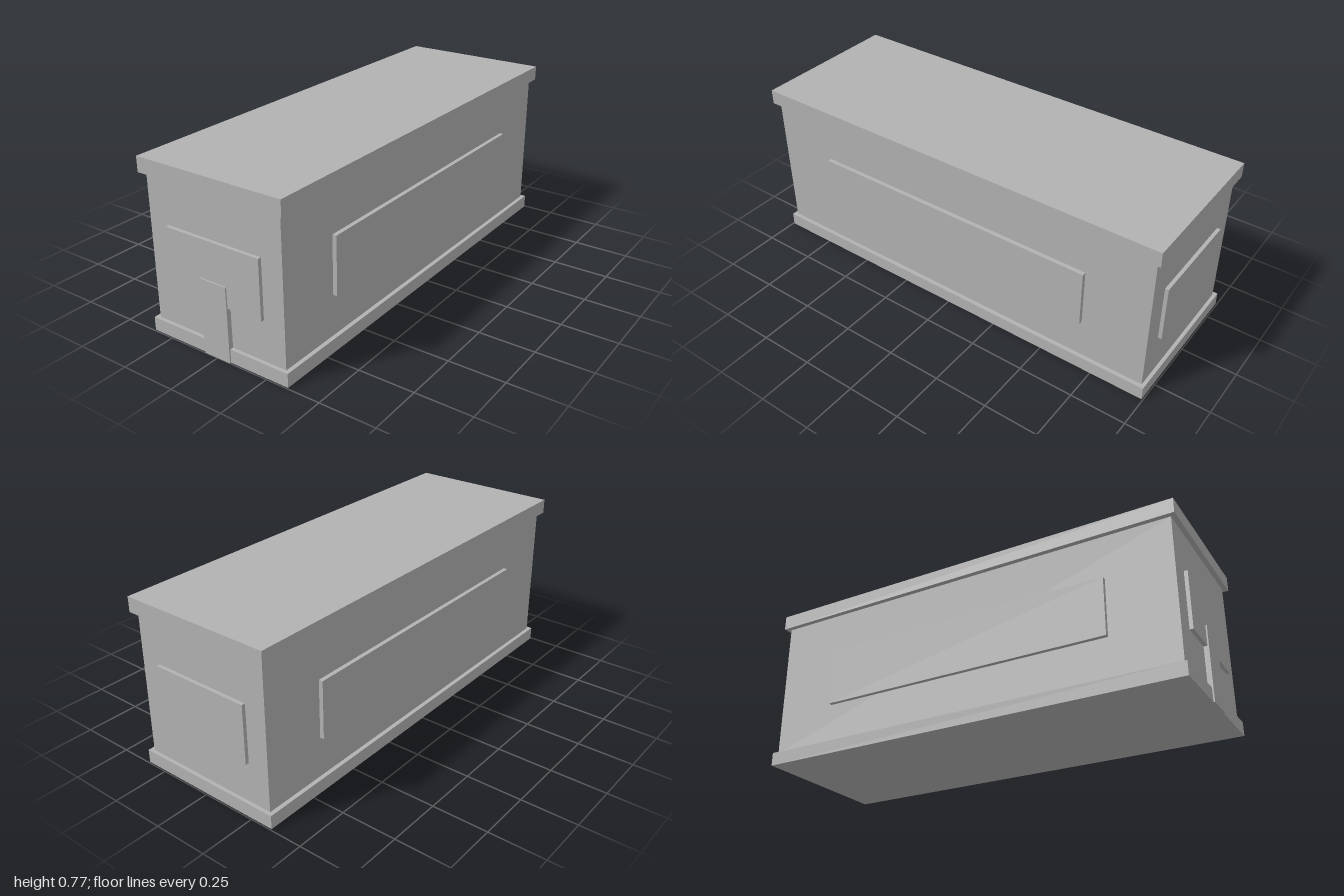
import * as THREE from 'three';

export function createModel() {
  const model = new THREE.Group();
  const stone = new THREE.MeshStandardMaterial({ color: 0xb2b2b2 });
  stone.name = 'grey stone';

  // Box given by its width, depth, bottom and top, centred at (x, z)
  function slab(name, width, depth, bottom, top, x = 0, z = 0) {
    const mesh = new THREE.Mesh(new THREE.BoxGeometry(width, top - bottom, depth), stone);
    mesh.name = name;
    mesh.position.set(x, (bottom + top) / 2, z);
    model.add(mesh);
  }

  // Plinth, body and overhanging lid
  slab('base', 0.702, 1.988, 0, 0.061);
  slab('body', 0.664, 1.956, 0.061, 0.703);
  slab('lid', 0.71, 2, 0.703, 0.77);

  // Raised panels on all four walls
  const panelBottom = 0.243, panelTop = 0.504;
  for (const side of [1, -1]) {
    slab(side > 0 ? 'leftPanel' : 'rightPanel', 0.03, 1.366, panelBottom, panelTop, side * 0.336);
    slab(side > 0 ? 'frontPanel' : 'backPanel', 0.466, 0.03, panelBottom, panelTop, 0, side * 0.979);
  }

  // Upright slab in the middle of the front
  slab('frontUpright', 0.132, 0.03, 0, 0.335, 0, 0.985);

  return model;
}
